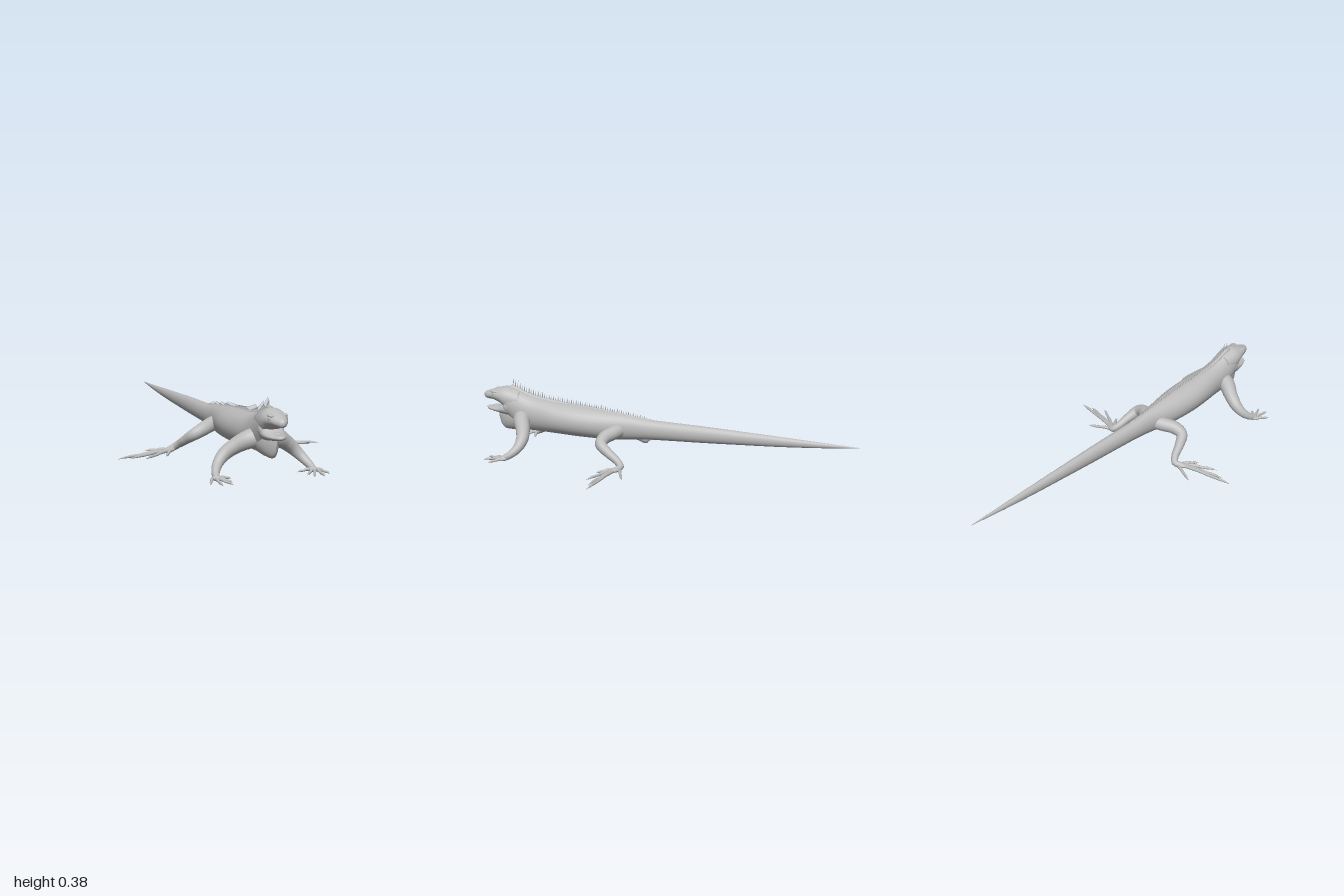
import * as THREE from 'three';

const skin = new THREE.MeshStandardMaterial({ color: 0xbcbcbc });
skin.name = 'light grey skin';

function add(group, name, geometry) {
  const mesh = new THREE.Mesh(geometry, skin);
  mesh.name = name;
  group.add(mesh);
  return mesh;
}

// Smooth skin through oval cross-sections: rows of [z, top, bottom, half width], z rising
function loft(rows, steps = 6, sides = 28) {
  const spine = new THREE.CatmullRomCurve3(rows.map(r => new THREE.Vector3(r[0], r[1], r[2])), false, 'catmullrom', 0.5);
  const width = new THREE.CatmullRomCurve3(rows.map(r => new THREE.Vector3(r[0], r[3], 0)), false, 'catmullrom', 0.5);
  const n = (rows.length - 1) * steps;
  const pos = [], index = [];
  for (let i = 0; i <= n; i++) {
    const s = spine.getPoint(i / n), w = Math.max(width.getPoint(i / n).y, 0.0005);
    for (let j = 0; j < sides; j++) {
      const a = j / sides * Math.PI * 2;
      pos.push(w * Math.cos(a), (s.y + s.z) / 2 + (s.y - s.z) / 2 * Math.sin(a), s.x);
      if (i === n) continue;
      const k = (j + 1) % sides, p = i * sides, q = p + sides;
      index.push(p + j, p + k, q + k, p + j, q + k, q + j);
    }
  }
  // End caps
  for (let j = 1; j < sides - 1; j++) {
    index.push(0, j + 1, j, n * sides, n * sides + j, n * sides + j + 1);
  }
  const g = new THREE.BufferGeometry();
  g.setAttribute('position', new THREE.Float32BufferAttribute(pos, 3));
  g.setIndex(index);
  g.computeVertexNormals();
  return g;
}

// Tapering tube through points [x, y, z, radius], mirrored by side
function taper(points, side, n = 24, sides = 14) {
  const curve = new THREE.CatmullRomCurve3(points.map(p => new THREE.Vector3(p[0] * side, p[1], p[2])));
  const g = new THREE.TubeGeometry(curve, n, 1, sides, false);
  const pos = g.attributes.position, v = new THREE.Vector3();
  for (let i = 0; i <= n; i++) {
    const t = curve.getUtoTmapping(i / n) * (points.length - 1);
    const k = Math.min(Math.floor(t), points.length - 2);
    const r = THREE.MathUtils.lerp(points[k][3], points[k + 1][3], t - k);
    const c = curve.getPointAt(i / n);
    for (let j = 0; j <= sides; j++) {
      const id = i * (sides + 1) + j;
      v.fromBufferAttribute(pos, id).sub(c).multiplyScalar(r).add(c);
      pos.setXYZ(id, v.x, v.y, v.z);
    }
  }
  return g;
}

function ball(group, name, x, y, z, rx, ry, rz) {
  const m = add(group, name, new THREE.SphereGeometry(1, 20, 14));
  m.position.set(x, y, z);
  m.scale.set(rx, ry, rz);
  return m;
}

const bodyRows = [
  [-1, 0.157, 0.154, 0.001], [-0.8, 0.168, 0.139, 0.011], [-0.6, 0.18, 0.128, 0.018],
  [-0.4, 0.191, 0.121, 0.024], [-0.2, 0.202, 0.115, 0.03], [0, 0.21, 0.111, 0.035],
  [0.1, 0.216, 0.108, 0.038], [0.2, 0.23, 0.1, 0.045], [0.3, 0.244, 0.093, 0.064],
  [0.4, 0.256, 0.095, 0.081], [0.5, 0.265, 0.099, 0.087], [0.6, 0.274, 0.104, 0.082],
  [0.7, 0.287, 0.108, 0.069], [0.77, 0.308, 0.113, 0.066], [0.82, 0.328, 0.14, 0.064],
  [0.86, 0.332, 0.185, 0.06], [0.885, 0.31, 0.215, 0.042],
];

function backHeight(z) {
  const k = bodyRows.findIndex(r => r[0] > z), a = bodyRows[k - 1], b = bodyRows[k];
  return THREE.MathUtils.lerp(a[1], b[1], (z - a[0]) / (b[0] - a[0]));
}

// Toe arching from the foot to a clawed tip
function toe(group, name, side, from, tip, r) {
  const at = (f, y, rad) => [from[0] + (tip[0] - from[0]) * f, y, from[1] + (tip[1] - from[1]) * f, rad];
  add(group, name, taper([at(0, 0.017, r), at(0.3, 0.019, r), at(0.55, 0.014, r * 0.8),
    at(0.75, 0.013, r * 0.85), at(0.88, 0.011, r * 0.5), at(1, 0.007, 0.0006)], side, 18, 8));
}

export function createModel() {
  const model = new THREE.Group();
  model.name = 'lizard';

  add(model, 'bodyAndTail', loft(bodyRows));

  // Head with open jaws
  const head = new THREE.Group();
  head.name = 'head';
  model.add(head);
  add(head, 'upperHead', loft([
    [0.79, 0.315, 0.21, 0.055], [0.86, 0.337, 0.215, 0.062], [0.9, 0.333, 0.245, 0.057],
    [0.94, 0.322, 0.262, 0.045], [0.97, 0.311, 0.265, 0.032], [0.99, 0.304, 0.268, 0.019], [1, 0.292, 0.278, 0.004],
  ]));
  add(head, 'lowerJaw', loft([
    [0.8, 0.28, 0.17, 0.055], [0.87, 0.262, 0.185, 0.058], [0.91, 0.238, 0.194, 0.049],
    [0.95, 0.228, 0.202, 0.035], [0.975, 0.227, 0.207, 0.021], [0.986, 0.221, 0.214, 0.004],
  ]));
  add(head, 'throatFan', loft([
    [0.74, 0.2, 0.112, 0.05], [0.8, 0.24, 0.106, 0.052], [0.85, 0.24, 0.104, 0.042],
    [0.885, 0.235, 0.108, 0.027], [0.907, 0.22, 0.13, 0.014], [0.92, 0.205, 0.17, 0.003],
  ]));
  ball(head, 'tongue', 0, 0.228, 0.92, 0.02, 0.008, 0.035);
  for (const s of [1, -1]) {
    ball(head, 'eye', s * 0.041, 0.302, 0.932, 0.008, 0.01, 0.012);
    ball(head, 'brow', s * 0.035, 0.314, 0.928, 0.012, 0.007, 0.024);
    ball(head, 'nostril', s * 0.016, 0.293, 0.985, 0.005, 0.005, 0.005);
    ball(head, 'cheekScale', s * 0.055, 0.238, 0.855, 0.007, 0.02, 0.02);
  }

  // Back crest: low ridge with a row of spines
  const crest = new THREE.Group();
  crest.name = 'crest';
  model.add(crest);
  add(crest, 'ridge', loft([0.08, 0.2, 0.3, 0.4, 0.5, 0.6, 0.7, 0.77, 0.82, 0.85].map(z => {
    const y = backHeight(z), rise = Math.max(0, (z - 0.5) / 0.35);
    return [z, y + 0.003 + 0.01 * rise, y - 0.02, 0.007 + 0.006 * rise];
  })));
  const count = 60;
  for (let i = 0; i < count; i++) {
    const f = i / (count - 1), z = 0.1 + 0.735 * f;
    const h = 0.014 + 0.018 * Math.sqrt(f) + 0.022 * f ** 5;
    const spine = add(crest, 'spine', new THREE.ConeGeometry(1, 1, 6));
    spine.scale.set(0.0035, h + 0.01, 0.0055);
    spine.position.set(0, backHeight(z) + h / 2 - 0.005, z);
    spine.rotation.x = -0.15;
  }

  // Legs, feet and toes on both sides
  const frontToes = [[0.165, 0.79], [0.185, 0.86], [0.2, 0.905], [0.25, 0.91], [0.295, 0.87]];
  const hindToes = [[0.365, 0.125], [0.538, 0.25], [0.48, 0.262], [0.41, 0.295], [0.3, 0.28]];
  for (const s of [1, -1]) {
    const front = new THREE.Group(), hind = new THREE.Group();
    front.name = s > 0 ? 'leftFrontLeg' : 'rightFrontLeg';
    hind.name = s > 0 ? 'leftHindLeg' : 'rightHindLeg';
    model.add(front, hind);

    add(front, 'arm', taper([
      [0.015, 0.19, 0.775, 0.05], [0.07, 0.176, 0.765, 0.045], [0.125, 0.144, 0.738, 0.037],
      [0.172, 0.108, 0.725, 0.032], [0.208, 0.07, 0.737, 0.025], [0.233, 0.037, 0.772, 0.019],
      [0.24, 0.022, 0.8, 0.016], [0.242, 0.017, 0.815, 0.004],
    ], s, 36, 18));
    ball(front, 'hand', s * 0.24, 0.019, 0.803, 0.023, 0.013, 0.024);
    frontToes.forEach((tip, i) => toe(front, 'finger', s, [0.227 + i * 0.008, 0.8 + (i % 4 ? 0.012 : 0)], tip, 0.0075));

    add(hind, 'leg', taper([
      [0.01, 0.155, 0.235, 0.036], [0.06, 0.148, 0.262, 0.037], [0.115, 0.134, 0.295, 0.034],
      [0.16, 0.113, 0.298, 0.03], [0.187, 0.079, 0.25, 0.024], [0.207, 0.045, 0.195, 0.019],
      [0.228, 0.026, 0.174, 0.018], [0.26, 0.019, 0.19, 0.014], [0.285, 0.016, 0.205, 0.003],
    ], s, 36, 18));
    const foot = ball(hind, 'foot', s * 0.255, 0.018, 0.19, 0.037, 0.012, 0.02);
    foot.rotation.y = -s * 0.45;
    hindToes.forEach((tip, i) => toe(hind, 'toe', s, i ? [0.285 - i * 0.008, 0.192 + i * 0.004] : [0.245, 0.175], tip, 0.0085));
  }
  return model;
}
